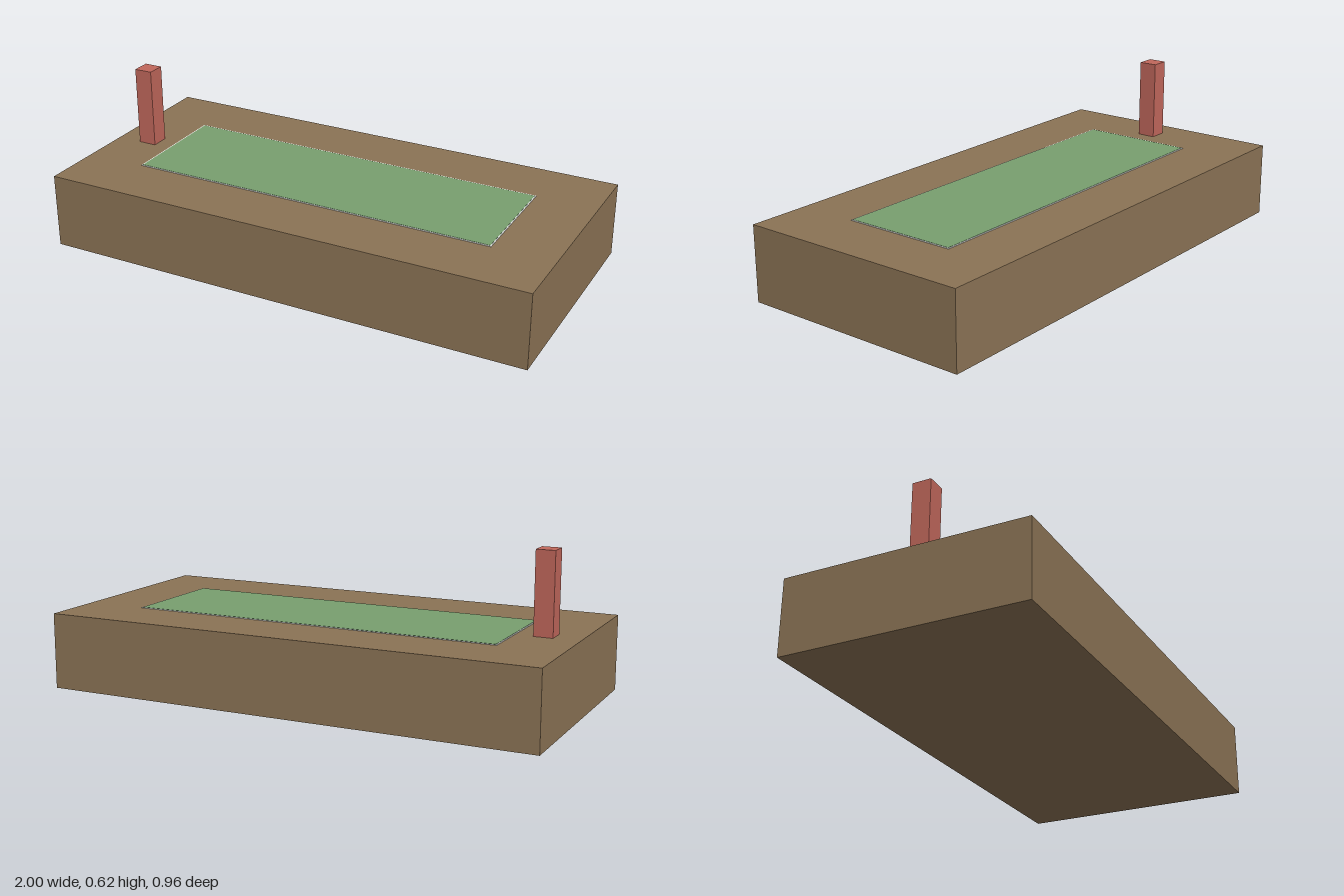
import * as THREE from 'three';

function material(name, color) {
  const m = new THREE.MeshStandardMaterial({ color });
  m.name = name;
  return m;
}

export function createModel() {
  const group = new THREE.Group();
  group.name = 'fieldOnBase';

  const earth = material('earthBrown', 0x8b7355);
  const white = material('lineWhite', 0xf0f0ee);
  const grass = material('grassGreen', 0x789f6f);
  const clay = material('clayRed', 0xc0675b);

  // Box standing on height y
  const addBox = (name, mat, w, h, d, x, y) => {
    const mesh = new THREE.Mesh(new THREE.BoxGeometry(w, h, d), mat);
    mesh.name = name;
    mesh.position.set(x, y + h / 2, 0);
    group.add(mesh);
  };

  const baseTop = 0.302;

  // Solid ground block
  addBox('base', earth, 2, baseTop, 0.96, 0, 0);

  // Thin white border plate with the green field on it
  addBox('fieldBorder', white, 1.506, 0.002, 0.468, 0, baseTop);
  addBox('field', grass, 1.496, 0.001, 0.458, 0, baseTop + 0.002);

  // Square post at the right end
  addBox('post', clay, 0.075, 0.322, 0.075, -0.86, baseTop);

  return group;
}
